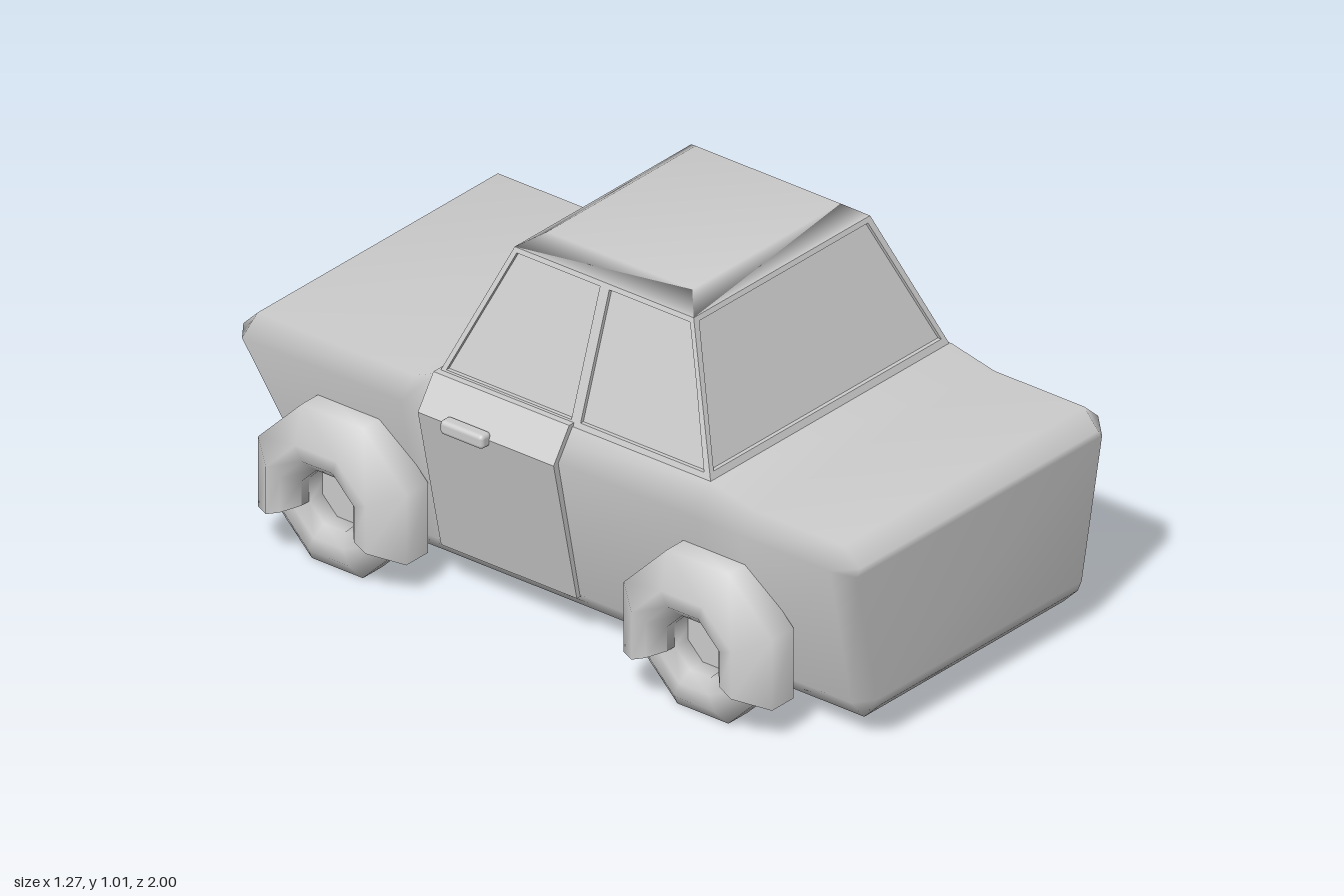
import * as THREE from 'three';
import { toCreasedNormals } from 'three/addons/utils/BufferGeometryUtils.js';
import { RoundedBoxGeometry } from 'three/addons/geometries/RoundedBoxGeometry.js';

const grey = new THREE.MeshStandardMaterial({ color: 0xcccccc });

function add(parent, name, geometry) {
  const mesh = new THREE.Mesh(geometry, grey);
  mesh.name = name;
  parent.add(mesh);
  return mesh;
}

// Skins a row of equal cross-sections, caps both ends and turns the faces outward.
function loft(rings, crease) {
  const n = rings[0].length, pts = rings.flat(), tris = [];
  const quad = (a, b, c, d) => tris.push([a, b, c], [a, c, d]);
  for (let r = 0; r < rings.length - 1; r++) {
    for (let i = 0; i < n; i++) {
      const j = (i + 1) % n, o = r * n;
      quad(o + i, o + j, o + n + j, o + n + i);
    }
  }
  const end = (rings.length - 1) * n;
  for (let i = 0; i < n / 2 - 1; i++) {
    const [a, b, c, d] = [i, i + 1, n - 2 - i, n - 1 - i];
    quad(d, c, b, a);
    quad(end + a, end + b, end + c, end + d);
  }
  const v = pts.map(p => new THREE.Vector3(...p));
  let volume = 0;
  for (const [a, b, c] of tris) volume += v[a].dot(v[b].clone().cross(v[c]));
  if (volume < 0) tris.forEach(t => t.reverse());
  const geo = new THREE.BufferGeometry();
  geo.setAttribute('position', new THREE.Float32BufferAttribute(pts.flat(), 3));
  geo.setIndex(tris.flat());
  geo.computeVertexNormals();
  return crease ? toCreasedNormals(geo, crease) : geo;
}

// Symmetric eight-point section from the left half, bottom to top.
const section = half => [...half, ...half.slice().reverse().map(([x, y, z]) => [-x, y, z])];

function bodyGeometry() {
  const full = (z, top) => section([[0.39, 0.06, z], [0.44, 0.12, z], [0.525, 0.53, z], [0.47, top, z]]);
  const face = z => section([[0.385, 0.11, z(0.11)], [0.4, 0.13, z(0.13)], [0.48, 0.51, z(0.51)], [0.465, 0.53, z(0.53)]]);
  const rear = y => -1 + 0.46 * (0.53 - y);
  return loft([
    face(() => 1), full(0.95, 0.58), full(0.66, 0.58), full(0.52, 0.61),
    full(-0.37, 0.61), full(-0.44, 0.58),
    section([[0.39, 0.06, -0.765], [0.44, 0.12, -0.775], [0.525, 0.53, -0.955], [0.47, 0.58, -0.95]]),
    face(rear),
  ]);
}

// Horizontal rectangle of the cabin.
const slab = (y, x, zf, zr) => [[x, y, zf], [x, y, zr], [-x, y, zr], [-x, y, zf]];

// Flat frame with window openings, leaned inward to follow the cabin wall.
const BASE = 0.6, TOP = 0.97, DEPTH = 0.014;
function frameGeometry(outline, windows, foot, lean) {
  const path = pts => pts.map(p => new THREE.Vector2(...p));
  const shape = new THREE.Shape(path(outline));
  windows.forEach(w => shape.holes.push(new THREE.Path(path(w))));
  const geo = new THREE.ExtrudeGeometry(shape, { depth: DEPTH, bevelEnabled: false });
  const p = geo.attributes.position;
  for (let i = 0; i < p.count; i++) {
    const t = (p.getY(i) - BASE) / (TOP - BASE);
    p.setZ(i, p.getZ(i) - DEPTH + foot - lean * t);
  }
  geo.computeVertexNormals();
  return geo;
}

function buildCabin() {
  const cabin = new THREE.Group();
  cabin.name = 'cabin';
  const g = 0.011;
  add(cabin, 'windowGlass', loft([
    slab(BASE, 0.47 - g, 0.52 - g, -0.37 + g), slab(TOP, 0.345 - g, 0.36 - g, -0.22 + g)], 0.3));
  add(cabin, 'roof', loft([slab(TOP, 0.345, 0.36, -0.22), slab(1.01, 0.29, 0.31, -0.16)]));

  const wide = [[-0.47, BASE], [0.47, BASE], [0.345, TOP], [-0.345, TOP]];
  const pane = [[-0.445, 0.628], [0.445, 0.628], [0.33, 0.957], [-0.33, 0.957]];
  add(cabin, 'windshieldFrame', frameGeometry(wide, [pane], 0.52, 0.16));
  add(cabin, 'rearWindowFrame', frameGeometry(wide, [pane], 0.37, 0.15)).rotation.y = Math.PI;

  // Side frames; s flips the outline front to back for the other side.
  for (const s of [1, -1]) {
    const flip = pts => pts.map(([z, y]) => [-s * z, y]);
    const outline = flip([[0.52, BASE], [0.36, TOP], [-0.22, TOP], [-0.37, BASE]]);
    const front = flip([[0.49, 0.625], [0.355, 0.957], [0.09, 0.957], [0.09, 0.625]]);
    const back = flip([[0.06, 0.625], [0.06, 0.957], [-0.21, 0.957], [-0.345, 0.625]]);
    add(cabin, s > 0 ? 'leftWindowFrame' : 'rightWindowFrame',
      frameGeometry(outline, [front, back], 0.47, 0.125)).rotation.y = s * Math.PI / 2;
  }
  return cabin;
}

function buildDoor(s) {
  const door = new THREE.Group();
  door.name = s > 0 ? 'leftDoor' : 'rightDoor';
  const profile = [[0.452, 0.115], [0.543, 0.53], [0.482, 0.62], [0.44, 0.62], [0.47, 0.53], [0.41, 0.115]];
  add(door, 'doorPanel', loft([0.07, -0.37].map(z => profile.map(([x, y]) => [s * x, y, z])), 0.3));
  add(door, 'doorHandle', new RoundedBoxGeometry(0.04, 0.04, 0.14, 2, 0.012))
    .position.set(s * 0.55, 0.53, -0.21);
  return door;
}

// Eight-sided wheel with a fender arch over its upper part, facing +x.
function buildWheel() {
  const wheel = new THREE.Group();
  const tyre = [[0.17, 0.44], [0.216, 0.475], [0.216, 0.55], [0.17, 0.585], [0.125, 0.585],
    [0.088, 0.56], [0.088, 0.47], [0.17, 0.44]].map(p => new THREE.Vector2(...p));
  add(wheel, 'tyre', new THREE.LatheGeometry(tyre, 8, Math.PI / 8).rotateZ(-Math.PI / 2));
  add(wheel, 'hub', new THREE.CylinderGeometry(0.095, 0.095, 0.06, 8, 1, false, Math.PI / 8)
    .rotateZ(-Math.PI / 2).translate(0.48, 0, 0));
  const arch = [[0.26, 0.485], [0.26, 0.57], [0.175, 0.635], [0.13, 0.63], [0.09, 0.59], [0.09, 0.485]];
  const rings = [];
  for (let i = 0; i <= 5; i++) {
    const a = (i - 0.5) * Math.PI / 4;
    rings.push(arch.map(([r, x]) => [x, r * Math.sin(a), r * Math.cos(a)]));
  }
  add(wheel, 'fender', loft(rings, 1.2));
  return wheel;
}

export function createModel() {
  const car = new THREE.Group();
  car.name = 'car';
  add(car, 'body', bodyGeometry());
  car.add(buildCabin());
  for (const s of [1, -1]) {
    car.add(buildDoor(s));
    for (const [end, z] of [['Front', 0.56], ['Rear', -0.625]]) {
      const wheel = buildWheel();
      wheel.name = (s > 0 ? 'left' : 'right') + end + 'Wheel';
      wheel.position.set(0, 0.2, z);
      if (s < 0) wheel.rotation.y = Math.PI;
      car.add(wheel);
    }
  }
  return car;
}
